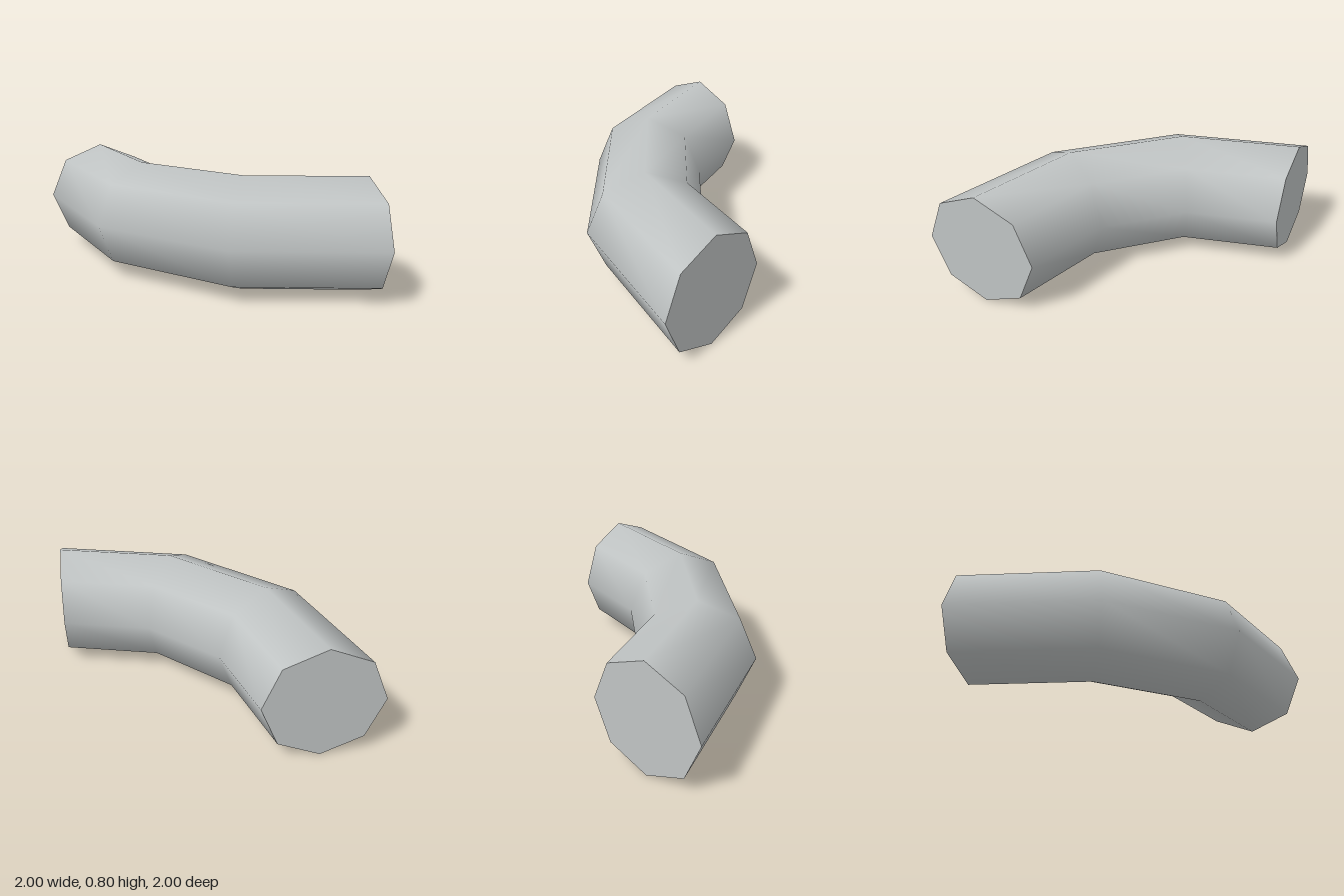
import * as THREE from 'three';

const SIDES = 8, RADIUS = 0.4;

// Mitred rings along the bend: outer x, outer z, inner x, inner z
const RINGS = [
  [-1, -1, -0.2, -1],
  [-0.73, 0, -0.04, -0.4],
  [0, 0.73, 0.4, 0.04],
  [1, 1, 1, 0.2],
];

function ringPoints([ox, oz, ix, iz]) {
  return Array.from({ length: SIDES }, (_, k) => {
    const a = (k / SIDES) * Math.PI * 2, c = Math.cos(a);
    return [
      (ox + ix) / 2 + ((ox - ix) / 2) * c,
      RADIUS + RADIUS * Math.sin(a),
      (oz + iz) / 2 + ((oz - iz) / 2) * c,
    ];
  });
}

function makeGeometry(points, index) {
  const geometry = new THREE.BufferGeometry();
  geometry.setAttribute('position', new THREE.Float32BufferAttribute(points.flat(), 3));
  geometry.setIndex(index);
  geometry.computeVertexNormals();
  return geometry;
}

// Smooth wall joining neighbouring rings
function wallGeometry(rings) {
  const index = [];
  for (let i = 0; i < rings.length - 1; i++) {
    for (let j = 0; j < SIDES; j++) {
      const n = (j + 1) % SIDES;
      const a = i * SIDES + j, b = a + SIDES, c = i * SIDES + n, d = c + SIDES;
      index.push(a, b, c, b, d, c);
    }
  }
  return makeGeometry(rings.flat(), index);
}

// Flat octagonal end
function capGeometry(points) {
  const index = [];
  for (let j = 1; j < SIDES - 1; j++) index.push(0, j, j + 1);
  return makeGeometry(points, index);
}

export function createModel() {
  const group = new THREE.Group();
  group.name = 'pipeBend';
  const grey = new THREE.MeshStandardMaterial({ color: 0xc0c4c4 });
  grey.name = 'light grey';

  const add = (name, geometry) => {
    const mesh = new THREE.Mesh(geometry, grey);
    mesh.name = name;
    group.add(mesh);
  };

  const rings = RINGS.map(ringPoints);
  add('pipeWall', wallGeometry(rings));
  add('backEnd', capGeometry(rings[0]));
  add('leftEnd', capGeometry([...rings[rings.length - 1]].reverse()));
  return group;
}
